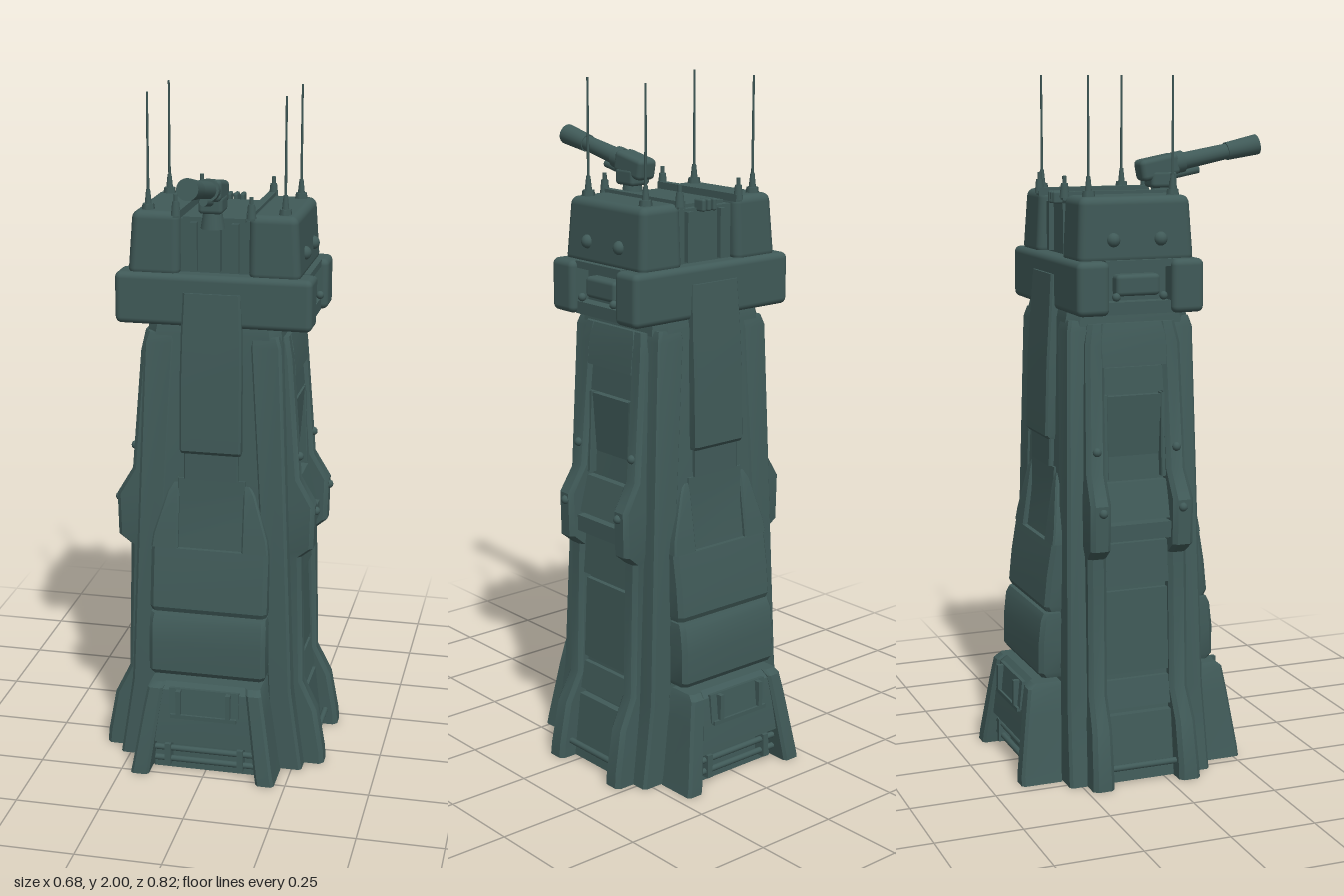
import * as THREE from 'three';
import { toCreasedNormals } from 'three/addons/utils/BufferGeometryUtils.js';
import { RoundedBoxGeometry } from 'three/addons/geometries/RoundedBoxGeometry.js';

const paint = new THREE.MeshStandardMaterial({ color: 0x405a58 });
paint.name = 'darkTeal';

function add(parent, name, geo, x = 0, y = 0, z = 0) {
  const m = new THREE.Mesh(geo, paint);
  m.name = name;
  m.position.set(x, y, z);
  parent.add(m);
  return m;
}

// Skin a stack of convex plan sections: levels are [y, [[x, z], ...]]
function loft(levels, crease = 0.5) {
  const v = [];
  const put = (l, i) => v.push(l[1][i][0], l[0], l[1][i][1]);
  const n = levels[0][1].length;
  for (let k = 0; k + 1 < levels.length; k++) {
    const a = levels[k], b = levels[k + 1];
    for (let i = 0; i < n; i++) {
      const j = (i + 1) % n;
      put(a, i); put(a, j); put(b, j);
      put(a, i); put(b, j); put(b, i);
    }
  }
  const lo = levels[0], hi = levels[levels.length - 1];
  for (let i = 1; i + 1 < n; i++) {
    put(hi, 0); put(hi, i); put(hi, i + 1);
    put(lo, 0); put(lo, i + 1); put(lo, i);
  }
  const g = new THREE.BufferGeometry();
  g.setAttribute('position', new THREE.Float32BufferAttribute(v, 3));
  return toCreasedNormals(g, crease);
}

// Plate facing +z; rows are [y, x0, x1, inner z, outer z], with chamfered sides
const plate = (rows, c = 0.012) => loft(rows.map(([y, a, b, zi, zo]) =>
  [y, [[a, zi], [a, zo - c], [a + c, zo], [b - c, zo], [b, zo - c], [b, zi]]]));
const wide = (rows, c) => plate(rows.map(([y, h, zi, zo]) => [y, -h, h, zi, zo]), c);
const mirrorRows = (rows, s) => s > 0 ? rows : rows.map(([y, a, b, zi, zo]) => [y, -b, -a, zi, zo]);

const box = (w, h, d) => new THREE.BoxGeometry(w, h, d);
const rod = (r, len, r2 = r, n = 12) => new THREE.CylinderGeometry(r2, r, len, n);
const bolt = r => new THREE.SphereGeometry(r, 12, 8);

// Front and back armour, built facing +z
function makeFace() {
  const g = new THREE.Group();
  g.name = 'armourFace';
  add(g, 'upperPlate', wide([[0.98, 0.088, 0.18, 0.21], [0.99, 0.09, 0.18, 0.218],
    [1.2, 0.09, 0.17, 0.212], [1.33, 0.088, 0.17, 0.203], [1.45, 0.083, 0.16, 0.195]], 0.006));
  add(g, 'recessPlate', wide([[0.66, 0.1, 0.17, 0.218], [0.8, 0.1, 0.17, 0.2], [0.9, 0.1, 0.17, 0.197]], 0.002));
  add(g, 'neckPlate', wide([[0.9, 0.08, 0.17, 0.205], [0.99, 0.08, 0.17, 0.203]], 0.004));
  add(g, 'middlePanel', wide([[0.495, 0.172, 0.19, 0.245], [0.51, 0.175, 0.19, 0.252],
    [0.6, 0.175, 0.19, 0.243], [0.69, 0.175, 0.18, 0.228]]));
  add(g, 'lowerPanel', wide([[0.3, 0.17, 0.19, 0.26], [0.315, 0.175, 0.19, 0.27],
    [0.4, 0.175, 0.19, 0.27], [0.47, 0.175, 0.19, 0.262], [0.49, 0.172, 0.19, 0.252]]));
  add(g, 'skirtHatch', wide([[0.1, 0.165, 0.2, 0.312], [0.19, 0.16, 0.2, 0.305],
    [0.265, 0.15, 0.2, 0.295], [0.285, 0.14, 0.2, 0.275]]));
  add(g, 'skirtRecess', wide([[0, 0.16, 0.2, 0.275], [0.1, 0.16, 0.2, 0.27]], 0.003));
  add(g, 'hatchPanel', box(0.21, 0.085, 0.012), 0, 0.232, 0.3).rotation.x = -0.1;
  for (const y of [0.04, 0.075]) add(g, 'bumperRod', rod(0.009, 0.3), 0, y, 0.295).rotation.z = Math.PI / 2;
  for (const s of [-1, 1]) {
    add(g, 'panelShoulder', plate(mirrorRows([[0.69, 0.095, 0.175, 0.18, 0.228],
      [0.73, 0.095, 0.17, 0.18, 0.222], [0.86, 0.095, 0.13, 0.17, 0.202], [0.885, 0.095, 0.115, 0.17, 0.193]], s), 0.005));
    add(g, 'skirtFoot', plate(mirrorRows([[0, 0.163, 0.218, 0.22, 0.34], [0.03, 0.158, 0.212, 0.22, 0.338],
      [0.2, 0.135, 0.185, 0.21, 0.314], [0.27, 0.125, 0.172, 0.2, 0.303], [0.285, 0.12, 0.165, 0.2, 0.285]], s), 0.008));
    add(g, 'hatchHandle', box(0.014, 0.075, 0.025), s * 0.075, 0.235, 0.308);
    add(g, 'bumperBracket', box(0.018, 0.07, 0.045), s * 0.11, 0.057, 0.287);
  }
  add(g, 'hatchLip', box(0.2, 0.012, 0.03), 0, 0.19, 0.302);
  return g;
}

// Left and right flank, built facing +z and then turned
function makeFlank() {
  const g = new THREE.Group();
  g.name = 'flank';
  for (const s of [-1, 1]) {
    add(g, 'flankRail', plate(mirrorRows([[0, 0.1, 0.165, 0.2, 0.338], [0.04, 0.1, 0.163, 0.2, 0.335],
      [0.17, 0.098, 0.158, 0.2, 0.312], [0.26, 0.096, 0.152, 0.2, 0.268], [0.66, 0.094, 0.15, 0.18, 0.258],
      [0.69, 0.094, 0.155, 0.18, 0.294], [0.82, 0.094, 0.155, 0.18, 0.297], [0.9, 0.092, 0.15, 0.17, 0.25],
      [1.26, 0.085, 0.142, 0.16, 0.222], [1.32, 0.08, 0.13, 0.16, 0.21]], s)));
    add(g, 'windowCorner', plate(mirrorRows([[0.88, 0.08, 0.1, 0.16, 0.235], [1.12, 0.08, 0.1, 0.16, 0.225]], s), 0.003));
    for (const [y, z] of [[0.8, 0.296], [0.965, 0.245]]) add(g, 'railBolt', bolt(0.013), s * 0.12, y, z);
  }
  const panels = [
    [0, 0.2, 0.29, 0.268], [0.21, 0.3, 0.265, 0.25], [0.31, 0.56, 0.25, 0.24],
    [0.57, 0.7, 0.25, 0.242], [0.705, 0.76, 0.272, 0.272], [0.76, 0.875, 0.262, 0.235],
    [0.88, 1.12, 0.206, 0.224], [1.12, 1.2, 0.222, 0.216],
  ];
  for (const [y0, y1, z0, z1] of panels) {
    add(g, 'flankPanel', wide([[y0 + 0.004, 0.1, 0.16, z0], [y1 - 0.004, 0.1, 0.16, z1]], 0.004));
  }
  add(g, 'archTop', wide([[1.2, 0.1, 0.15, 0.228], [1.28, 0.1, 0.15, 0.22], [1.32, 0.09, 0.15, 0.21]], 0.004));
  add(g, 'footRod', rod(0.009, 0.2), 0, 0.05, 0.3).rotation.z = Math.PI / 2;
  // Collar niche and head fittings
  add(g, 'nicheShelf', box(0.2, 0.035, 0.06), 0, 1.368, 0.235);
  add(g, 'nicheBlock', new RoundedBoxGeometry(0.13, 0.06, 0.05, 2, 0.012), 0, 1.43, 0.235);
  add(g, 'nicheLid', box(0.2, 0.02, 0.06), 0, 1.49, 0.235);
  for (const s of [-1, 1]) {
    add(g, 'headBolt', bolt(0.02), s * 0.07, 1.555, 0.243);
    add(g, 'nicheBolt', bolt(0.012), s * 0.07, 1.4, 0.266);
  }
  return g;
}

function makeHead() {
  const g = new THREE.Group();
  g.name = 'head';
  for (const s of [-1, 1]) {
    add(g, 'collarBand', new RoundedBoxGeometry(0.57, 0.15, 0.095, 3, 0.018), 0, 1.425, s * 0.14);
    // Side pods narrow slightly toward the roof
    const pod = new RoundedBoxGeometry(0.15, 0.185, 0.345, 3, 0.022);
    const p = pod.attributes.position;
    for (let i = 0; i < p.count; i++) {
      const t = (p.getY(i) + 0.0925) / 0.185;
      p.setZ(i, p.getZ(i) * (1 - 0.06 * t));
      if (p.getX(i) * s > 0) p.setX(i, p.getX(i) - s * 0.012 * t);
    }
    add(g, 'headPod', pod, s * 0.175, 1.58, 0);
    add(g, 'roofRail', box(0.022, 0.022, 0.34), s * 0.105, 1.67, 0);
    for (const e of [-1, 1]) {
      add(g, 'railEnd', rod(0.014, 0.04, 0.01), s * 0.108, 1.685, e * 0.163);
      add(g, 'railPin', rod(0.006, 0.03), s * 0.108, 1.71, e * 0.163);
      add(g, 'recessStrip', box(0.02, 0.14, 0.02), s * 0.06, 1.575, e * 0.145);
      add(g, 'antennaBase', rod(0.02, 0.02, 0.017, 6), s * 0.197, 1.678, e * 0.125);
      add(g, 'antennaSocket', rod(0.011, 0.045, 0.006, 8), s * 0.197, 1.705, e * 0.125);
      add(g, 'antenna', rod(0.004, 0.29, 0.003, 6), s * 0.197, 1.855, e * 0.125);
    }
  }
  add(g, 'collarCore', box(0.45, 0.16, 0.26), 0, 1.425, 0);
  add(g, 'headCore', box(0.22, 0.155, 0.28), 0, 1.575, 0);
  add(g, 'roofPanel', box(0.18, 0.012, 0.28), 0, 1.656, 0.02);
  for (let i = -1; i <= 1; i++) add(g, 'roofVent', new RoundedBoxGeometry(0.014, 0.035, 0.04, 2, 0.006), i * 0.02, 1.66, -0.147);
  return g;
}

// Elevated gun on the front roof edge
function makeGun() {
  const g = new THREE.Group();
  g.name = 'gun';
  add(g, 'gunPost', box(0.04, 0.15, 0.03), 0, 1.585, 0.085);
  add(g, 'gunPedestal', rod(0.035, 0.06, 0.025), 0, 1.665, 0.1);
  add(g, 'gunYoke', new RoundedBoxGeometry(0.07, 0.05, 0.08, 2, 0.012), 0, 1.705, 0.1);
  const arm = new THREE.Group();
  arm.name = 'gunBarrelGroup';
  arm.position.set(0, 1.728, 0.035);
  arm.rotation.x = -0.19;
  g.add(arm);
  add(arm, 'gunBreech', new RoundedBoxGeometry(0.066, 0.062, 0.12, 2, 0.014), 0, 0, 0.055);
  const parts = [['gunBarrel', 0.026, 0.022, 0.24, 0.2], ['gunMuzzle', 0.026, 0.03, 0.1, 0.326], ['gunCollar', 0.032, 0.032, 0.03, 0.12]];
  for (const [name, r, r2, len, z] of parts) add(arm, name, rod(r, len, r2, 20), 0, 0, z).rotation.x = Math.PI / 2;
  add(arm, 'gunRam', rod(0.012, 0.1), 0, -0.032, 0.13).rotation.x = Math.PI / 2;
  return g;
}

export function createModel() {
  const root = new THREE.Group();
  root.name = 'watchTower';
  const tower = new THREE.Group();
  tower.name = 'tower';
  tower.position.z = -0.07;
  root.add(tower);

  // Tapered eight-sided core: [y, front half width, front depth, side half width, side half depth]
  const core = [[0, 0.25, 0.215, 0.275, 0.19], [0.1, 0.235, 0.21, 0.26, 0.185],
    [0.25, 0.21, 0.205, 0.238, 0.17], [1.33, 0.165, 0.182, 0.195, 0.15], [1.36, 0.16, 0.175, 0.19, 0.145]];
  add(tower, 'core', loft(core.map(([y, a, d, b, c]) =>
    [y, [[-b, -c], [-b, c], [-a, d], [a, d], [b, c], [b, -c], [a, -d], [-a, -d]]]), 0.3));
  // Raised corner columns
  for (const s of [-1, 1]) for (const e of [0, Math.PI]) {
    add(tower, 'cornerColumn', plate(mirrorRows([[0, 0.185, 0.28, 0.16, 0.216], [0.12, 0.178, 0.262, 0.16, 0.213],
      [0.25, 0.172, 0.243, 0.15, 0.209], [1.3, 0.11, 0.2, 0.13, 0.188], [1.33, 0.11, 0.19, 0.13, 0.18]], s), 0.008)).rotation.y = e;
  }
  for (let i = 0; i < 2; i++) {
    const face = makeFace(), flank = makeFlank();
    face.rotation.y = i * Math.PI;
    flank.rotation.y = Math.PI / 2 + i * Math.PI;
    tower.add(face, flank);
  }
  tower.add(makeHead());
  root.add(makeGun());
  return root;
}
